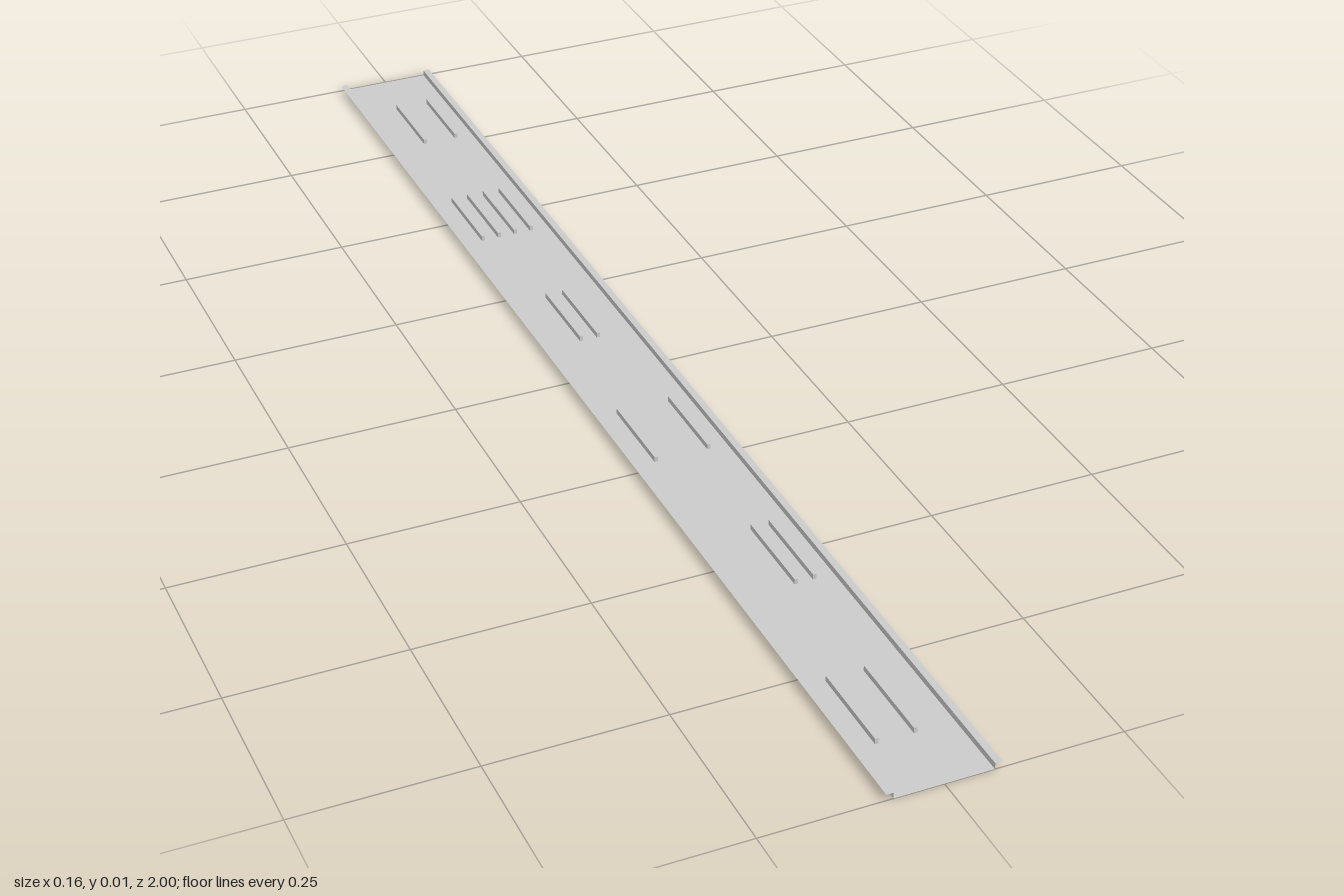
import * as THREE from 'three';

const LENGTH = 2;
const FLOOR_HALF = 0.069, OUTER_HALF = 0.079, WALL_H = 0.009;
const BAR_W = 0.005, BAR_H = 0.008, BAR_L = 0.135, BAR_PITCH = 0.0268;

// Which of the four lanes (from -x to +x) carry a bar in each row, back to front
const ROWS = [[1, 3], [0, 1, 2, 3], [1, 2], [0, 3], [2, 3], [0, 2]];

export function createModel() {
  const model = new THREE.Group();
  model.name = 'ribbedTray';
  const sheetMat = new THREE.MeshStandardMaterial({ color: 0xcccccc, side: THREE.DoubleSide });
  const barMat = new THREE.MeshStandardMaterial({ color: 0xcccccc });

  // One flat strip of thin sheet running the full length
  function strip(name, width, x, y, upright = false) {
    const geo = new THREE.PlaneGeometry(width, LENGTH).rotateX(-Math.PI / 2);
    if (upright) geo.rotateZ(Math.PI / 2);
    const mesh = new THREE.Mesh(geo, sheetMat);
    mesh.name = name;
    mesh.position.set(x, y, 0);
    return mesh;
  }

  // Folded sheet: floor, side walls and outward lips
  const tray = new THREE.Group();
  tray.name = 'tray';
  tray.add(strip('floor', FLOOR_HALF * 2, 0, 0));
  for (const [side, s] of [['left', 1], ['right', -1]]) {
    tray.add(strip(side + 'Wall', WALL_H, s * FLOOR_HALF, WALL_H / 2, true));
    tray.add(strip(side + 'Lip', OUTER_HALF - FLOOR_HALF, s * (FLOOR_HALF + OUTER_HALF) / 2, WALL_H));
  }
  model.add(tray);

  // Raised bars standing on the floor
  const bars = new THREE.Group();
  bars.name = 'bars';
  const barGeo = new THREE.BoxGeometry(BAR_W, BAR_H, BAR_L);
  ROWS.forEach((lanes, row) => {
    for (const lane of lanes) {
      const bar = new THREE.Mesh(barGeo, barMat);
      bar.name = 'bar';
      bar.position.set((lane - 1.5) * BAR_PITCH, BAR_H / 2, (row - 2.5) / 3);
      bars.add(bar);
    }
  });
  model.add(bars);
  return model;
}
